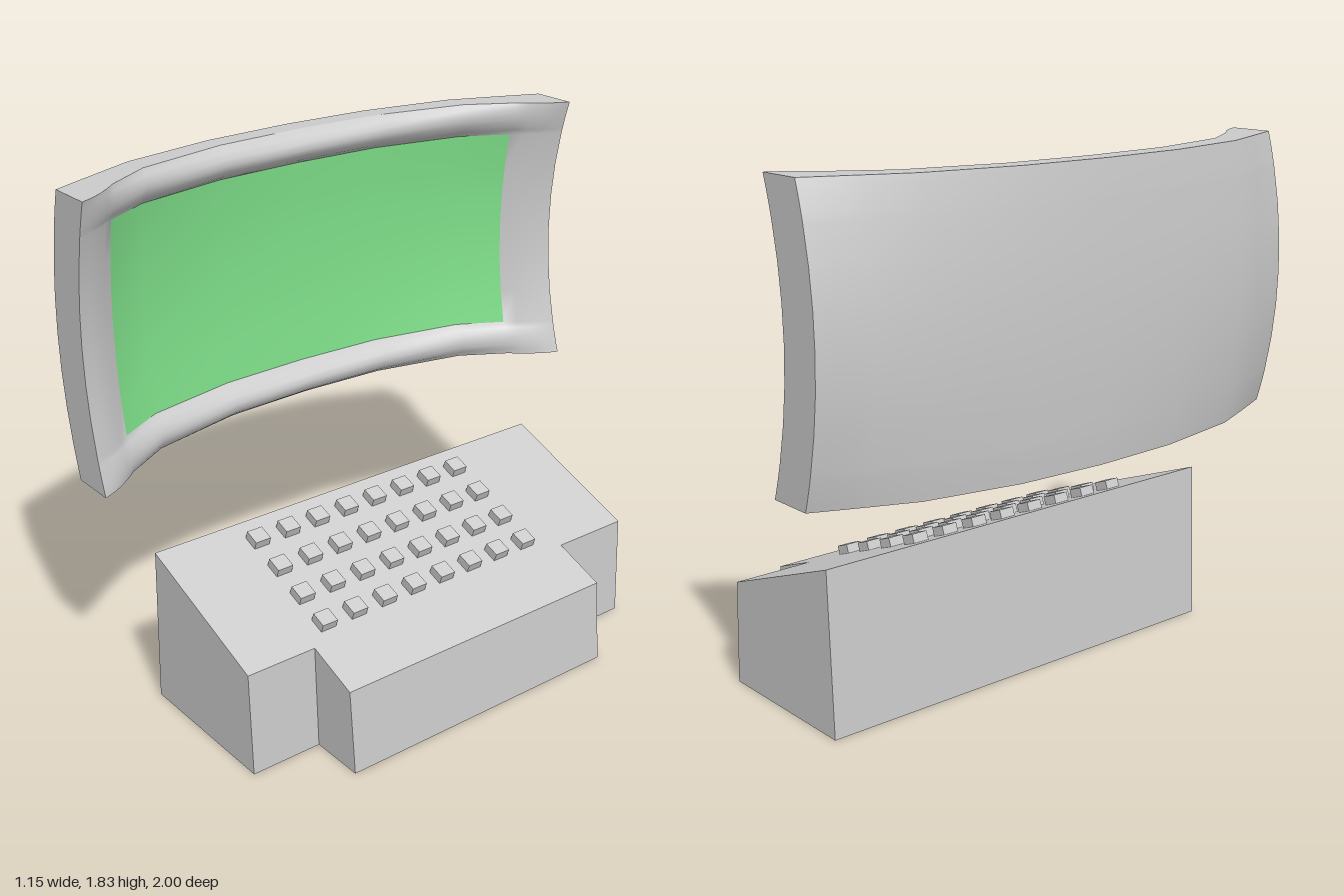
import * as THREE from 'three';

const grey = new THREE.MeshStandardMaterial({ color: 0xcccccc });
const green = new THREE.MeshStandardMaterial({ color: 0x7fe08a });

function add(parent, name, geometry, material = grey) {
  const mesh = new THREE.Mesh(geometry, material);
  mesh.name = name;
  parent.add(mesh);
  return mesh;
}

// Piecewise-linear curve through [position, value] pairs
function along(points, t) {
  let i = 1;
  while (i < points.length - 1 && t > points[i][0]) i++;
  const [a, va] = points[i - 1], [b, vb] = points[i];
  return va + (vb - va) * (t - a) / (b - a);
}

// Smooth sheet over a grid; faces point along (v direction) x (u direction)
function sheet(us, vs, point, keep = () => true) {
  const positions = [], index = [], n = vs.length;
  us.forEach(u => vs.forEach(v => positions.push(...point(u, v))));
  for (let i = 0; i < us.length - 1; i++) {
    for (let j = 0; j < n - 1; j++) {
      if (!keep((us[i] + us[i + 1]) / 2, (vs[j] + vs[j + 1]) / 2)) continue;
      const a = i * n + j, b = a + 1, c = a + n, d = c + 1;
      index.push(a, b, c, b, d, c);
    }
  }
  const g = new THREE.BufferGeometry();
  g.setAttribute('position', new THREE.Float32BufferAttribute(positions, 3));
  g.setIndex(index);
  g.computeVertexNormals();
  return g;
}

const mirrored = half => [...half.slice(1).reverse().map(v => -v), ...half];

// Curved screen: z runs -1..1, t is height from -1 (bottom) to 1 (top)
const MID_Y = 1.3325, HALF_Y = 0.4925, GLASS_Z = 0.835, GLASS_T = 0.751;
const backCurve = [[0, -0.575], [0.33, -0.565], [0.67, -0.52], [1, -0.41]];
const frontCurve = [[0, -0.5], [0.33, -0.49], [0.67, -0.43], [GLASS_Z, -0.345], [1, -0.25]];
const yOf = t => MID_Y + t * HALF_Y;
const backX = (z, t) => along(backCurve, Math.abs(z)) + (0.025 + 0.05 * z * z) * t * t;

function frontX(z, t) {
  const rimZ = THREE.MathUtils.clamp((Math.abs(z) - GLASS_Z) / (1 - GLASS_Z), 0, 1);
  const rimT = THREE.MathUtils.clamp((Math.abs(t) - GLASS_T) / (1 - GLASS_T), 0, 1);
  const bulge = r => Math.pow(Math.max(0, Math.sin(Math.PI * r)), 0.8);
  return along(frontCurve, Math.abs(z)) + (0.03 + 0.05 * z * z) * t * t
    + 0.062 * (1 - z * z) * bulge(rimT) + 0.012 * bulge(rimZ);
}

function createScreen() {
  const screen = new THREE.Group();
  screen.name = 'curvedScreen';
  const zs = mirrored([0, 0.33, 0.67, GLASS_Z, 0.875, 0.915, 0.955, 1]);
  const ts = mirrored([0, 0.25, 0.5, GLASS_T, 0.79, 0.83, 0.875, 0.92, 0.96, 1]);
  const down = [...ts].reverse();
  const inGlass = (z, t) => Math.abs(z) < GLASS_Z && Math.abs(t) < GLASS_T;
  const front = (z, t) => [frontX(z, t), yOf(t), z];

  add(screen, 'screenGlass', sheet(zs, ts, front, inGlass), green);
  add(screen, 'screenRim', sheet(zs, ts, front, (z, t) => !inGlass(z, t)));
  add(screen, 'screenBack', sheet(zs, down, (z, t) => [backX(z, t), yOf(t), z]));

  // Edge walls joining back to rim
  const wall = (z, t, k) => [THREE.MathUtils.lerp(backX(z, t), frontX(z, t), k), yOf(t), z];
  for (const s of [-1, 1]) {
    add(screen, s > 0 ? 'topEdge' : 'bottomEdge',
      sheet(zs, s > 0 ? [1, 0] : [0, 1], (z, k) => wall(z, s, k)));
    add(screen, s > 0 ? 'leftEdge' : 'rightEdge',
      sheet(ts, s > 0 ? [0, 1] : [1, 0], (t, k) => wall(s, t, k)));
  }
  return screen;
}

// Side profile drawn in x/y, extruded from z0 to z1
function prism(profile, z0, z1) {
  const shape = new THREE.Shape(profile.map(p => new THREE.Vector2(...p)));
  return new THREE.ExtrudeGeometry(shape, { depth: z1 - z0, bevelEnabled: false }).translate(0, 0, z0);
}

function createConsole() {
  const desk = new THREE.Group();
  desk.name = 'console';
  add(desk, 'consoleBody',
    prism([[-0.205, 0], [0.375, 0], [0.362, 0.371], [-0.18, 0.575]], -0.83, 0.83));
  add(desk, 'consoleFront',
    prism([[0.375, 0], [0.575, 0], [0.55, 0.3], [0.362, 0.371]], -0.535, 0.57));

  // Buttons lying on the sloping top
  const slope = (0.575 - 0.3) / (0.55 + 0.18);
  const button = new THREE.BoxGeometry(0.058, 0.04, 0.06);
  for (const x of [-0.085, 0.045, 0.173, 0.295]) {
    for (let i = 0; i < 8; i++) {
      const mesh = add(desk, 'button', button);
      mesh.position.set(x, 0.575 - (x + 0.18) * slope + 0.012, -0.405 + i * 0.1265);
      mesh.rotation.z = -Math.atan(slope);
    }
  }
  return desk;
}

export function createModel() {
  const model = new THREE.Group();
  model.name = 'controlDesk';
  model.add(createScreen(), createConsole());
  return model;
}
